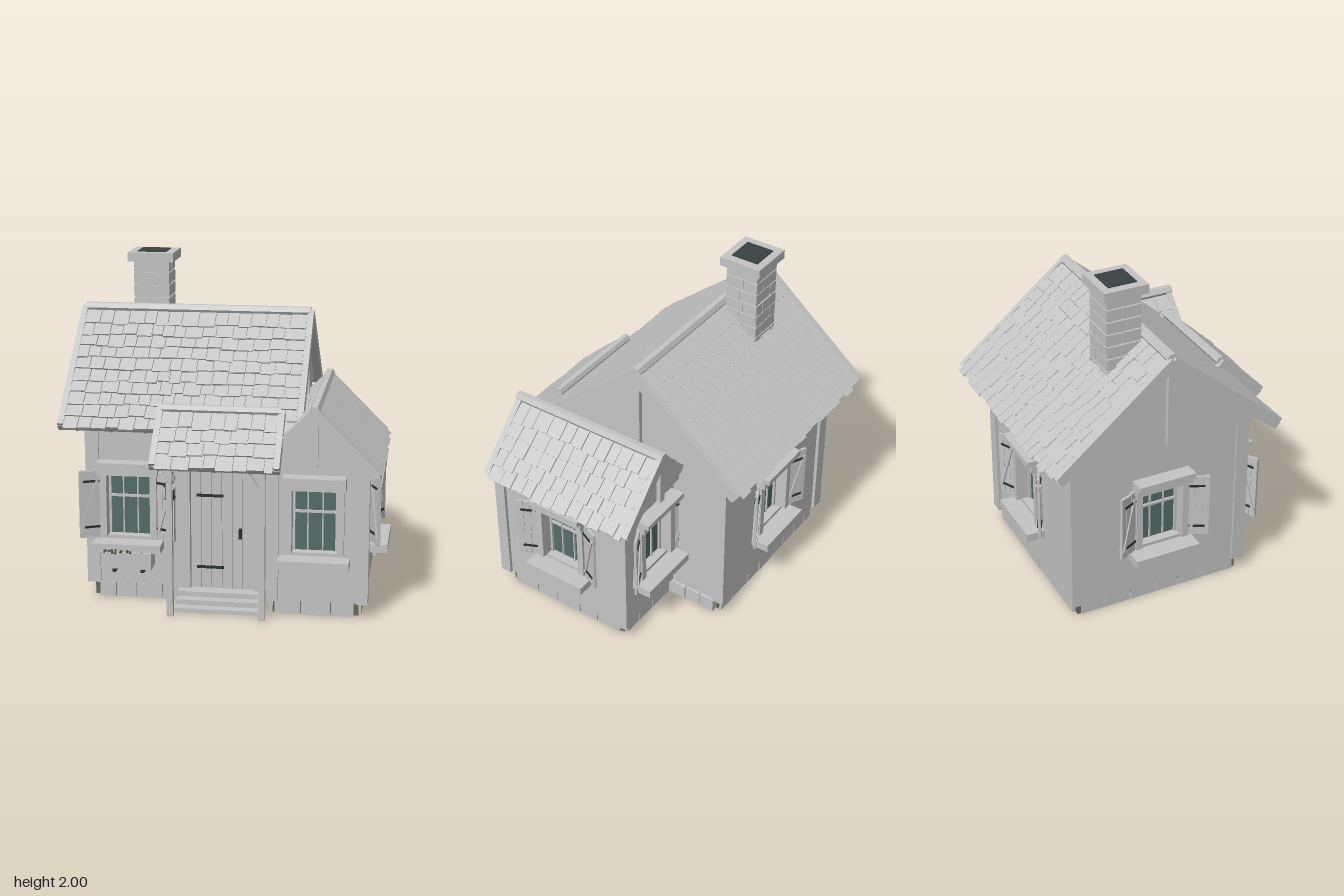
import * as THREE from 'three';
import { mergeGeometries } from 'three/addons/utils/BufferGeometryUtils.js';

const mat = (name, color) => Object.assign(new THREE.MeshStandardMaterial({ color }), { name });
const grey = mat('pale grey', 0xc4c4c4);
const glass = mat('window glass', 0x546d67);
const iron = mat('dark iron', 0x2a3130);
const soot = mat('chimney soot', 0x38423f);
const soil = mat('floor underside', 0x69675a);
const lampGlow = mat('lantern glass', 0x6b6640);
const leaf = mat('planter leaves', 0x4c5648);
const PI = Math.PI;

let seed = 7;
const rand = (a = 0, b = 1) => {
  seed = (seed * 16807) % 2147483647;
  return a + (b - a) * (seed / 2147483647);
};

function group(parent, name, x = 0, y = 0, z = 0, yaw = 0) {
  const g = new THREE.Group();
  g.name = name;
  g.position.set(x, y, z);
  g.rotation.y = yaw;
  parent.add(g);
  return g;
}
function add(parent, name, geo, m = grey) {
  const mesh = new THREE.Mesh(geo, m);
  mesh.name = name;
  parent.add(mesh);
  return mesh;
}
function box(parent, name, w, h, d, x, y, z, m = grey) {
  const mesh = add(parent, name, new THREE.BoxGeometry(w, h, d), m);
  mesh.position.set(x, y, z);
  return mesh;
}
// six-sided log along x, with flat faces
function log(parent, name, r, len, x, y, z) {
  const geo = new THREE.CylinderGeometry(r, r, len, 6).rotateZ(PI / 2).toNonIndexed();
  geo.computeVertexNormals();
  const mesh = add(parent, name, geo);
  mesh.position.set(x, y, z);
  return mesh;
}

// shutter leaf hinged at its local x = 0, opening towards +x
function shutter(parent, x, side) {
  const s = group(parent, 'shutter', x, 0.2, 0.015, side > 0 ? -0.45 : PI + 0.45);
  const f = side; // outer face direction after turning
  for (let i = 0; i < 3; i++) box(s, 'shutterPlank', 0.039, 0.41 - 0.01 * (i % 2), 0.016, 0.021 + i * 0.041, 0, 0);
  for (const k of [1, -1]) {
    box(s, 'shutterBrace', 0.018, 0.33, 0.01, 0.062, 0, k * 0.012).rotation.z = -0.3 * f;
    for (const y of [-0.14, 0.14]) box(s, 'shutterStrap', 0.1, 0.013, 0.006, 0.05, y, k * 0.011, iron);
  }
}

// window with its origin at the bottom centre of the opening
const WW = 0.26, WH = 0.385;
function windowUnit(parent, x, y, shutters) {
  const g = group(parent, 'window', x, y, 0);
  box(g, 'glass', WW, WH, 0.008, 0, WH / 2, -0.06, glass);
  for (const bx of [-0.043, 0.043]) box(g, 'mullion', 0.008, WH, 0.014, bx, WH / 2, -0.052);
  box(g, 'crossBar', WW, 0.014, 0.016, 0, 0.235, -0.05);
  for (const s of [-1, 1]) {
    box(g, 'innerFrame', 0.014, WH, 0.02, s * (WW / 2 - 0.007), WH / 2, -0.05);
    box(g, 'jamb', 0.04, WH, 0.05, s * (WW / 2 + 0.02), WH / 2, 0.01);
    if (shutters) shutter(g, s * (WW / 2 + 0.045), s);
  }
  box(g, 'sill', 0.41, 0.05, 0.15, 0, -0.045, 0.04);
  box(g, 'lintel', 0.36, 0.048, 0.08, 0, WH + 0.022, 0.02);
  box(g, 'hood', 0.36, 0.035, 0.1, 0, WH + 0.062, 0.04);
  return g;
}

// wall panel with its outer face at local z = 0 and an optional window
function wall(parent, name, w, h, x, z, yaw, winX = null, shutters = true) {
  const g = group(parent, name, x, 0.09, z, yaw);
  const s = new THREE.Shape([[-w / 2, 0], [w / 2, 0], [w / 2, h], [-w / 2, h]].map(p => new THREE.Vector2(...p)));
  if (winX !== null) {
    const a = winX - WW / 2, b = winX + WW / 2, y0 = 0.295, y1 = y0 + WH;
    s.holes.push(new THREE.Path([[a, y0], [a, y1], [b, y1], [b, y0]].map(p => new THREE.Vector2(...p))));
    windowUnit(g, winX, y0, shutters);
  }
  add(g, name + 'Panel', new THREE.ExtrudeGeometry(s, { depth: 0.07, bevelEnabled: false }).translate(0, 0, -0.07));
}

// roof slope: local x runs along the ridge, local z down the slope
function slope(parent, name, w, len, angle, yaw, x, y, z, tails = 0) {
  const g = group(parent, name, x, y, z);
  g.rotation.set(angle, yaw, 0, 'YXZ');
  box(g, 'roofBoards', w - 0.03, 0.02, len - 0.01, 0, -0.01, len / 2);
  const tiles = [], rows = Math.round((len - 0.03) / 0.088), e = (len - 0.03) / rows, end = w / 2 - 0.035;
  for (let i = 0; i < rows; i++) {
    let c = -end;
    while (c < end - 0.01) {
      let tw = rand(0.065, 0.105);
      if (end - c - tw < 0.045) tw = end - c;
      const l = e + rand(0.015, 0.035);
      tiles.push(new THREE.BoxGeometry(tw - 0.004, 0.013, l).rotateX(-0.1)
        .translate(c + tw / 2, 0.009 + rand(0, 0.004), i * e + 0.03 + l / 2));
      c += tw;
    }
  }
  add(g, 'roofTiles', mergeGeometries(tiles));
  for (const s of [-1, 1]) box(g, 'bargeBoard', 0.036, 0.065, len, s * (w / 2 - 0.018), -0.012, len / 2);
  box(g, 'fascia', w, 0.035, 0.03, 0, -0.018, len - 0.01);
  for (let i = 0; i < tails; i++) {
    const r = box(g, 'rafterTail', 0.024, 0.024, Math.min(0.3, len * 0.7), (i - (tails - 1) / 2) * 0.2, -0.037, len - Math.min(0.15, len * 0.35));
    r.rotation.z = PI / 4;
  }
}

// triangular gable infill with king post, facing local +z
function gable(parent, name, half, base, top, x, z, yaw) {
  const g = group(parent, name, x, 0, z, yaw);
  const s = new THREE.Shape([[-half, base], [half, base], [0, top]].map(p => new THREE.Vector2(...p)));
  add(g, name + 'Panel', new THREE.ExtrudeGeometry(s, { depth: 0.02, bevelEnabled: false }).translate(0, 0, -0.02));
  box(g, 'kingPost', 0.04, top - base, 0.035, 0, (top + base) / 2 - 0.01, 0.01);
}

// row of uneven foundation stones from (x0,z0) to (x1,z1)
function stones(parent, x0, z0, x1, z1) {
  const L = Math.hypot(x1 - x0, z1 - z0), g = group(parent, 'foundationRow', x0, 0, z0, -Math.atan2(z1 - z0, x1 - x0));
  for (let c = 0; c < L - 0.01;) {
    let w = rand(0.1, 0.18);
    if (L - c - w < 0.07) w = L - c;
    box(g, 'foundationStone', w - 0.005, 0.088, 0.07 + rand(0, 0.012), c + w / 2, 0.044, 0);
    c += w;
  }
}

export function createModel() {
  const house = new THREE.Group();
  house.name = 'cottage';

  // floors and foundation
  box(house, 'mainFloor', 1.1, 0.085, 1.05, -0.24, 0.045, -0.11, soil);
  box(house, 'wingFloor', 0.5, 0.085, 0.84, 0.55, 0.045, 0.15, soil);
  const path = [[-0.76, 0.4], [0.31, 0.4], [0.31, 0.55], [0.775, 0.55], [0.775, -0.25], [0.31, -0.25], [0.31, -0.615], [-0.76, -0.615]];
  path.forEach((p, i) => stones(house, ...p, ...path[(i + 1) % path.length]));

  // walls with windows
  wall(house, 'mainFrontWall', 1.145, 0.98, -0.2425, 0.44, 0, -0.33);
  wall(house, 'mainBackWall', 1.145, 0.98, -0.2425, -0.665, PI, -0.04);
  wall(house, 'mainLeftEndWall', 1.105, 0.98, -0.815, -0.1125, -PI / 2, 0);
  wall(house, 'mainRightEndWall', 1.105, 0.98, 0.33, -0.1125, PI / 2);
  wall(house, 'wingFrontWall', 0.545, 0.84, 0.5625, 0.605, 0, -0.02, false);
  wall(house, 'wingSideWall', 0.91, 0.84, 0.835, 0.15, PI / 2, 0.01);
  wall(house, 'wingBackWall', 0.545, 0.84, 0.5625, -0.305, PI, 0.03);
  wall(house, 'wingPorchWall', 0.235, 0.84, 0.29, 0.4875, -PI / 2);

  // corner posts and wall plates
  for (const [x, z] of [[-0.79, 0.415], [-0.79, -0.645], [0.31, -0.645]]) box(house, 'cornerPost', 0.08, 0.98, 0.08, x, 0.58, z);
  for (const [x, z] of [[0.3, 0.595], [0.82, 0.595], [0.82, -0.295]]) box(house, 'wingCornerPost', 0.07, 0.85, 0.07, x, 0.515, z);
  for (const z of [0.42, -0.645]) box(house, 'wallPlate', 1.16, 0.05, 0.06, -0.2425, 1.05, z);

  // main roof
  const mx = -0.25, mz = -0.12, my = 1.655;
  slope(house, 'mainRoofFront', 1.42, 0.9, 0.693, 0, mx, my, mz, 7);
  slope(house, 'mainRoofBack', 1.42, 0.9, 0.693, PI, mx, my, mz, 7);
  log(house, 'mainRidge', 0.032, 1.38, mx, my + 0.005, mz);
  for (const s of [-1, 1]) gable(house, 'mainGable', 0.6, 1.12, 1.625, mx + s * 0.66, mz, s * PI / 2);

  // wing roof
  slope(house, 'wingRoofOuter', 1.04, 0.5, PI / 4, PI / 2, 0.54, 1.23, 0.14, 5);
  slope(house, 'wingRoofInner', 1.04, 0.28, PI / 4, -PI / 2, 0.54, 1.23, 0.14);
  log(house, 'wingRidge', 0.032, 1.05, 0.54, 1.232, 0.14).rotation.y = PI / 2;
  gable(house, 'wingFrontGable', 0.28, 0.92, 1.2, 0.54, 0.63, 0);
  gable(house, 'wingBackGable', 0.28, 0.92, 1.2, 0.54, -0.345, PI);

  // porch roof, posts and braces
  slope(house, 'porchRoof', 0.74, 0.39, 0.75, 0, -0.01, 1.19, 0.52, 3);
  log(house, 'porchRidge', 0.028, 0.7, -0.01, 1.192, 0.525);
  box(house, 'porchBeam', 0.6, 0.035, 0.035, -0.015, 0.93, 0.71);
  for (const s of [-1, 1]) {
    const px = -0.015 + s * 0.267;
    box(house, 'porchPost', 0.036, 0.93, 0.036, px, 0.465, 0.71);
    box(house, 'porchSideBeam', 0.035, 0.035, 0.28, px, 0.93, 0.575);
    box(house, 'porchBrace', 0.022, 0.2, 0.022, px - s * 0.055, 0.83, 0.71).rotation.z = s * 0.55;
  }

  // steps
  [[0.65, 0.025], [0.59, 0.055], [0.53, 0.085]].forEach(([z, h]) => box(house, 'step', 0.51, h, z - 0.43, -0.015, h / 2, (z + 0.43) / 2));

  // door
  const door = group(house, 'door', -0.015, 0.09, 0.445);
  for (let i = 0; i < 6; i++) box(door, 'doorPlank', 0.058, 0.75, 0.02, (i - 2.5) * 0.062, 0.375, 0.004);
  for (const s of [-1, 1]) box(door, 'doorJamb', 0.06, 0.79, 0.06, s * 0.217, 0.395, 0.01);
  box(door, 'doorHead', 0.49, 0.05, 0.06, 0, 0.78, 0.01);
  for (const y of [0.13, 0.57]) box(door, 'doorHinge', 0.16, 0.016, 0.008, -0.07, y, 0.017, iron);
  box(door, 'doorHandle', 0.018, 0.06, 0.025, 0.11, 0.345, 0.022, iron);

  // planter under the front window
  const planter = group(house, 'planter', -0.57, 0.27, 0.505);
  box(planter, 'planterBox', 0.3, 0.1, 0.12, 0, 0, 0.005);
  for (const s of [-1, 1]) box(planter, 'planterBracket', 0.02, 0.04, 0.06, s * 0.085, -0.07, -0.02, iron);
  for (let i = 0; i < 16; i++) {
    const l = box(planter, 'leaf', 0.012, 0.012, 0.012, rand(-0.14, 0.14), rand(0.04, 0.06), rand(0.05, 0.068), leaf);
    l.rotation.set(rand(0, 3), rand(0, 3), 0);
  }

  // lantern beside the door
  const lamp = group(house, 'lantern', -0.31, 0.7, 0.54);
  box(lamp, 'lanternGlass', 0.04, 0.07, 0.04, 0, 0, 0, lampGlow);
  box(lamp, 'lanternFoot', 0.055, 0.012, 0.055, 0, -0.04, 0, iron);
  box(lamp, 'lanternCap', 0.06, 0.018, 0.06, 0, 0.042, 0, iron);
  for (const sx of [-1, 1]) for (const sz of [-1, 1]) box(lamp, 'lanternBar', 0.007, 0.075, 0.007, sx * 0.021, 0, sz * 0.021, iron);
  box(lamp, 'lanternHook', 0.01, 0.04, 0.01, 0, 0.065, 0, iron);
  box(lamp, 'lanternArm', 0.012, 0.012, 0.11, 0, 0.08, -0.05, iron);

  // chimney with staggered stone courses
  const ch = group(house, 'chimney', -0.54, 0, -0.265);
  box(ch, 'chimneyCore', 0.195, 0.6, 0.195, 0, 1.65, 0);
  for (let i = 0; i < 8; i++) {
    const y = 1.91 - i * 0.076, split = i % 2 ? 0.04 : -0.04;
    for (const s of [-1, 1]) {
      const w = 0.107 - s * split, d = 0.107 + s * split * 0.3;
      box(ch, 'chimneyStone', w - 0.004, 0.07, 0.212, s * 0.107 - s * w / 2, y, rand(-0.003, 0.003));
      box(ch, 'chimneySideStone', 0.218, 0.068, d - 0.006, 0, y, s * (0.107 - d / 2));
    }
  }
  box(ch, 'chimneyCap', 0.28, 0.055, 0.27, 0, 1.967, 0);
  box(ch, 'chimneyOpening', 0.175, 0.008, 0.175, 0, 1.996, 0, soot);
  return house;
}
